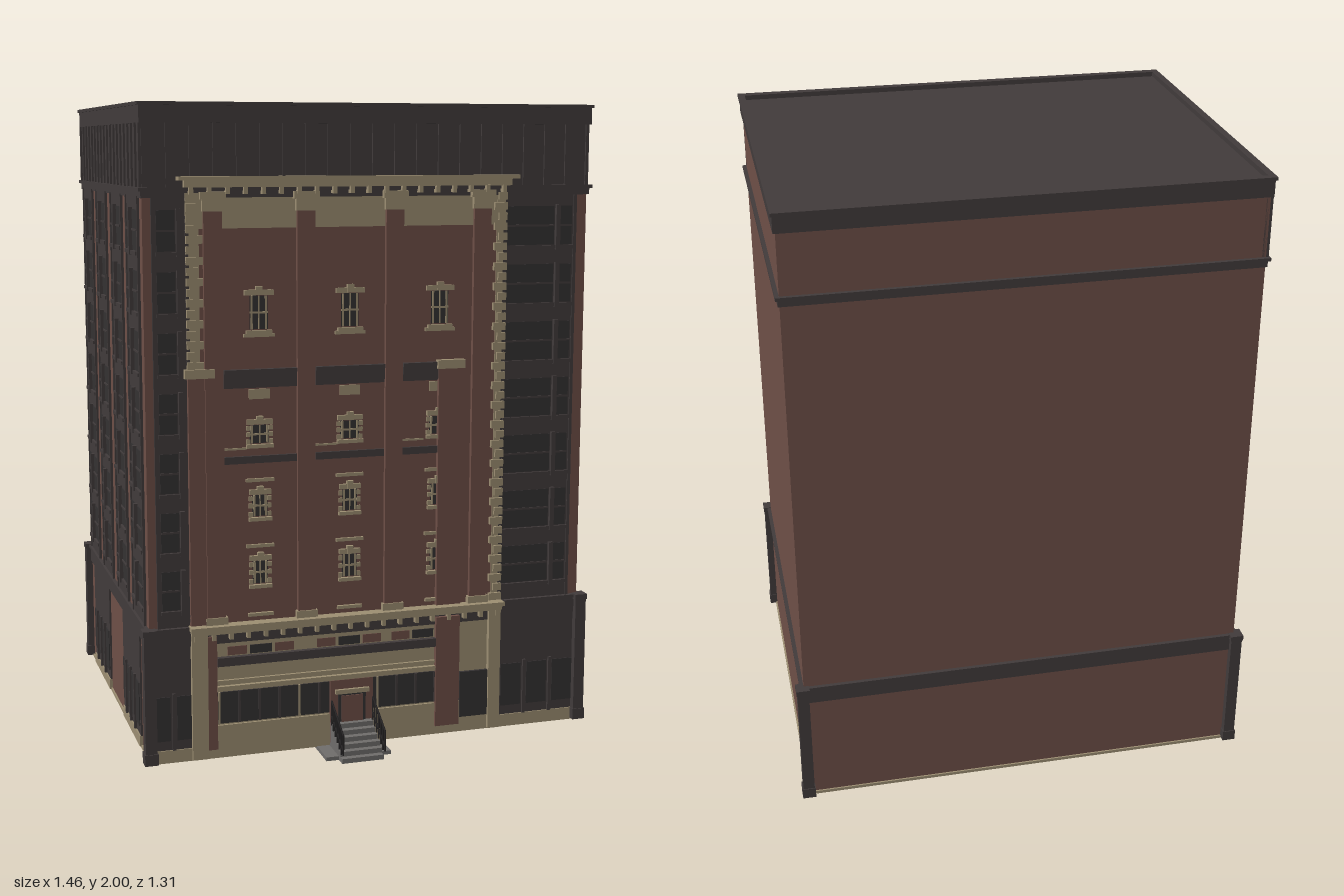
import * as THREE from 'three';

const material = (name, color) => {
  const m = new THREE.MeshStandardMaterial({ color });
  m.name = name;
  return m;
};

export function createModel() {
  const brick = material('brick', 0x6e4f47);
  const stone = material('stone', 0x9c8e72);
  const iron = material('dark iron', 0x413b3b);
  const glass = material('dark glass', 0x343132);
  const grey = material('grey steps', 0x6f6d6b);
  const rail = material('black rail', 0x242223);

  const model = new THREE.Group();
  model.name = 'building';
  const group = (name, parent = model) => {
    const g = new THREE.Group();
    g.name = name;
    parent.add(g);
    return g;
  };
  // box given by its limits
  const box = (parent, name, mat, x0, x1, y0, y1, z0, z1) => {
    const m = new THREE.Mesh(new THREE.BoxGeometry(x1 - x0, y1 - y0, z1 - z0), mat);
    m.position.set((x0 + x1) / 2, (y0 + y1) / 2, (z0 + z1) / 2);
    m.name = name;
    parent.add(m);
    return m;
  };

  // main block, roof and ledges
  const shell = group('shell');
  box(shell, 'walls', brick, -0.705, 0.705, 0.015, 1.95, -0.635, 0.49);
  box(shell, 'underside', stone, -0.71, 0.71, 0.01, 0.02, -0.64, 0.5);
  box(shell, 'roof', iron, -0.705, 0.705, 1.94, 1.985, -0.635, 0.495);
  const ring = (name, y0, y1, o) => {
    const g = group(name, shell);
    const x = 0.705 + o, zb = -0.635 - o, zf = 0.495 + o;
    box(g, 'frontLedge', iron, -x, x, y0, y1, 0.48, zf);
    box(g, 'backLedge', iron, -x, x, y0, y1, zb, -0.625);
    for (const s of [-1, 1]) box(g, 'sideLedge', iron, Math.min(s * x, s * 0.695), Math.max(s * x, s * 0.695), y0, y1, zb, zf);
  };
  ring('parapet', 1.94, 2, 0.007);
  ring('parapetLip', 1.99, 2, 0.012);
  ring('upperBand', 1.725, 1.755, 0.005);
  ring('upperBandLip', 1.745, 1.755, 0.012);
  ring('baseBand', 0.375, 0.43, 0.006);
  ring('baseBandLip', 0.425, 0.435, 0.012);
  for (const s of [-1, 1]) for (const z of [-0.64, 0.5]) {
    box(shell, 'cornerPost', iron, s * 0.709 - 0.018, s * 0.709 + 0.018, 0.015, 0.43, z - 0.018, z + 0.018);
    box(shell, 'cornerFoot', iron, s * 0.709 - 0.021, s * 0.709 + 0.021, 0.015, 0.05, z - 0.021, z + 0.021);
    box(shell, 'cornerCap', iron, s * 0.709 - 0.021, s * 0.709 + 0.021, 0.42, 0.437, z - 0.021, z + 0.021);
  }

  // tall iron window bay on a wall lying at z = w
  const bay = (parent, x0, x1, xm, w) => {
    const g = group('windowBay', parent);
    box(g, 'bayPanel', iron, x0, x1, 0.43, 1.73, w - 0.01, w + 0.004);
    for (let i = 0; i < 7; i++) {
      const y = 0.455 + i * 0.18;
      for (const [a, b] of [[x0 + 0.015, xm - 0.01], [xm + 0.01, x1 - 0.015]]) {
        if (b - a < 0.02) continue;
        box(g, 'pane', glass, a, b, y + 0.035, y + 0.155, w, w + 0.006);
        box(g, 'paneBar', iron, a, b, y + 0.092, y + 0.098, w, w + 0.009);
        box(g, 'paneSill', iron, a - 0.004, b + 0.004, y + 0.022, y + 0.033, w, w + 0.012);
      }
      box(g, 'mullion', iron, xm - 0.007, xm + 0.007, y + 0.02, y + 0.16, w, w + 0.016);
    }
    for (const x of [x0, x1 - 0.01]) box(g, 'bayEdge', iron, x, x + 0.01, 0.43, 1.73, w, w + 0.008);
  };
  // ribbed band under the parapet
  const attic = (parent, x0, x1, w, n) => {
    const g = group('atticBand', parent);
    box(g, 'atticPanel', iron, x0, x1, 1.75, 1.95, w - 0.01, w + 0.004);
    for (let i = 0; i <= n; i++) {
      const x = x0 + 0.005 + (x1 - x0 - 0.01) * i / n;
      box(g, 'atticRib', iron, x - 0.005, x + 0.005, 1.755, 1.94, w, w + 0.01);
    }
  };
  // iron shopfront
  const shop = (parent, x0, x1, w) => {
    const g = group('shopfront', parent);
    box(g, 'shopPanel', iron, x0, x1, 0.05, 0.43, w - 0.01, w + 0.006);
    box(g, 'shopBase', stone, x0, x1, 0.015, 0.05, w - 0.01, w + 0.01);
    const n = Math.max(2, Math.round((x1 - x0) / 0.08)), p = (x1 - x0) / n;
    for (let i = 0; i < n; i++) {
      box(g, 'shopPane', glass, x0 + i * p + 0.01, x0 + (i + 1) * p - 0.01, 0.08, 0.22, w, w + 0.009);
      if (i) box(g, 'shopPost', iron, x0 + i * p - 0.005, x0 + i * p + 0.005, 0.05, 0.23, w, w + 0.014);
    }
  };

  // windowed side wall: local x runs along the wall, local z points outward
  const side = group('windowedSide');
  side.rotation.y = -Math.PI / 2;
  for (const c of [-0.5, -0.22, 0.07, 0.35]) bay(side, c - 0.1, c + 0.1, c, 0.705);
  attic(side, -0.635, 0.495, 0.703, 18);
  shop(side, -0.54, -0.22, 0.705);
  shop(side, 0.05, 0.35, 0.705);

  // iron wings of the front
  const wings = group('frontWings');
  bay(wings, -0.68, -0.57, -0.6, 0.49);
  bay(wings, 0.42, 0.67, 0.605, 0.49);
  attic(wings, -0.705, 0.705, 0.49, 20);
  shop(wings, -0.7, -0.57, 0.49);
  shop(wings, 0.43, 0.7, 0.49);

  // central facade
  const facade = group('facade');
  const f = (name, mat, x0, x1, y0, y1, z1, z0 = 0.485) => box(facade, name, mat, x0, x1, y0, y1, z0, z1);
  f('facadeWall', brick, -0.58, 0.43, 0.42, 1.74, 0.496);
  f('frieze', stone, -0.58, 0.43, 1.635, 1.77, 0.499);
  f('topCornice', stone, -0.585, 0.44, 1.755, 1.775, 0.52);
  f('topCorniceLip', stone, -0.605, 0.46, 1.775, 1.787, 0.535);
  f('lowerCornice', stone, -0.58, 0.43, 0.41, 0.425, 0.522);
  f('lowerCorniceLip', stone, -0.585, 0.435, 0.425, 0.438, 0.535);
  for (let i = 0; i < 19; i++) {
    const x = -0.565 + i * 0.0545;
    f('upperBracket', stone, x - 0.006, x + 0.006, 1.735, 1.757, 0.522);
    f('lowerBracket', stone, x - 0.006, x + 0.006, 0.39, 0.412, 0.518);
  }
  for (const x of [-0.5, -0.215, 0.065, 0.35]) {
    f('pier', brick, x - 0.028, x + 0.028, 0.44, 1.7, 0.51);
    f('pierFoot', stone, x - 0.034, x + 0.034, 0.437, 0.46, 0.515);
    f('capital', stone, x - 0.032, x + 0.032, 1.685, 1.72, 0.514);
    f('capitalTop', stone, x - 0.039, x + 0.039, 1.72, 1.742, 0.518);
  }
  // quoins on the facade edges
  const quoins = (x0, x1, y0, y1, dir) => {
    f('quoinStrip', stone, x0 + 0.01, x1 - 0.01, y0, y1, 0.5);
    for (let y = y0, i = 0; y < y1 - 0.02; y += 0.031, i++) {
      const cut = i % 2 * 0.014;
      f('quoin', stone, x0 + (dir > 0 ? cut : 0), x1 - (dir < 0 ? cut : 0), y, y + 0.023, 0.508);
    }
  };
  quoins(0.39, 0.432, 0.44, 1.74, 1);
  quoins(-0.58, -0.53, 1.22, 1.74, -1);
  // half-height piers with stone caps
  for (const [a, b, c, d] of [[-0.58, -0.53, -0.59, -0.5], [0.21, 0.29, 0.205, 0.295]]) {
    f('shortPier', brick, a, b, 0.44, 1.2, 0.512);
    f('shortPierCap', stone, c, d, 1.195, 1.222, 0.518);
  }
  // iron bands between piers
  for (const [a, b] of [[-0.47, -0.245], [-0.185, 0.035], [0.095, 0.21]]) {
    f('ironBand', iron, a, b, 1.16, 1.21, 0.506);
    f('ironBandLip', iron, a, b, 1.205, 1.216, 0.512);
    f('thinBand', iron, a, b, 0.93, 0.952, 0.505);
    f('sillStrip', stone, a, a + 0.07, 0.972, 0.978, 0.5);
  }

  // sash windows
  const sash = (x, y0, y1, w, style) => {
    f('sashGlass', glass, x - w, x + w, y0, y1, 0.4975);
    for (const s of [-1, 1]) {
      f('sashSide', stone, x + s * (w - 0.006) - 0.003, x + s * (w - 0.006) + 0.003, y0, y1, 0.5);
      if (style === 'block') for (const t of [0.1, 0.5, 0.85])
        f('sideBlock', stone, x + s * (w + 0.005) - 0.006, x + s * (w + 0.005) + 0.006, y0 + (y1 - y0) * t - 0.007, y0 + (y1 - y0) * t + 0.007, 0.502);
    }
    f('sashBar', stone, x - w, x + w, (y0 + y1) / 2 - 0.003, (y0 + y1) / 2 + 0.003, 0.5);
    f('sashPost', stone, x - 0.002, x + 0.002, y0, y1, 0.5);
    f('sill', stone, x - w - 0.012, x + w + 0.012, y0 - 0.014, y0 - 0.003, 0.508);
    f('lintel', stone, x - w - 0.01, x + w + 0.01, y1 + 0.003, y1 + 0.018, 0.506);
    f('keystone', stone, x - 0.01, x + 0.01, y1 + 0.003, y1 + 0.028, 0.509);
  };
  for (const x of [-0.36, -0.075, 0.215]) {
    sash(x, 1.335, 1.435, 0.028, 'plain');
    f('upperHood', stone, x - 0.045, x + 0.045, 1.437, 1.452, 0.506);
    f('upperSill', stone, x - 0.048, x + 0.048, 1.312, 1.322, 0.506);
    sash(x, 0.99, 1.045, 0.03, 'block');
    f('panelAbove', stone, x - 0.032, x + 0.032, 1.125, 1.155, 0.502);
    sash(x, 0.765, 0.83, 0.024, 'block');
    f('hoodStrip', stone, x - 0.044, x + 0.044, 0.872, 0.882, 0.504);
    sash(x, 0.555, 0.625, 0.024, 'block');
    f('hoodStrip', stone, x - 0.044, x + 0.044, 0.668, 0.678, 0.504);
    f('footSill', stone, x - 0.04, x + 0.04, 0.453, 0.463, 0.506);
  }

  // ground floor
  f('groundWall', stone, -0.58, 0.43, 0.015, 0.42, 0.497);
  f('groundPlinth', stone, -0.58, 0.43, 0.015, 0.115, 0.504);
  f('groundGlass', glass, -0.5, 0.21, 0.12, 0.22, 0.501);
  for (let i = 0; i < 12; i++) f('glassBar', i % 4 ? iron : stone, -0.497 + i * 0.064, -0.491 + i * 0.064, 0.12, 0.22, 0.505);
  f('stringCourse', stone, -0.5, 0.21, 0.225, 0.24, 0.51);
  f('stringCourse', stone, -0.5, 0.21, 0.25, 0.258, 0.506);
  f('signBand', iron, -0.5, 0.21, 0.305, 0.332, 0.514);
  for (const x of [-0.36, -0.075, 0.17]) {
    f('transom', glass, x - 0.035, x + 0.035, 0.335, 0.362, 0.5);
    for (const s of [-1, 1]) f('transomBrick', brick, x + s * 0.075 - 0.03, x + s * 0.075 + 0.03, 0.335, 0.362, 0.499);
  }
  f('cornerPier', stone, -0.58, -0.53, 0.015, 0.41, 0.514);
  f('groundPier', brick, -0.53, -0.5, 0.04, 0.4, 0.508);
  f('groundPier', brick, 0.21, 0.29, 0.04, 0.4, 0.513);
  f('sideWindow', glass, 0.295, 0.39, 0.06, 0.21, 0.507);
  f('cornerPier', stone, 0.39, 0.43, 0.015, 0.41, 0.514);

  // entrance
  const door = group('entrance');
  box(door, 'doorSurround', brick, -0.14, 0, 0.015, 0.225, 0.48, 0.512);
  box(door, 'doorGlass', glass, -0.115, -0.025, 0.09, 0.195, 0.5, 0.515);
  box(door, 'doorLeaf', brick, -0.105, -0.035, 0.09, 0.175, 0.5, 0.518);
  box(door, 'doorHood', stone, -0.125, -0.015, 0.182, 0.196, 0.5, 0.522);
  // steps and landing slab
  box(door, 'slab', grey, -0.18, 0.03, 0, 0.012, 0.4, 0.6);
  for (let i = 0; i < 6; i++) box(door, 'step', grey, -0.14, -0.005, i ? 0.012 : 0, 0.015 * (i + 1), 0.49, 0.635 - i * 0.02);
  // railings
  const bar = (x, ya, za, yb, zb) => {
    const a = new THREE.Vector3(x, ya, za), b = new THREE.Vector3(x, yb, zb);
    const m = new THREE.Mesh(new THREE.CylinderGeometry(0.003, 0.003, a.distanceTo(b), 6), rail);
    m.position.copy(a).lerp(b, 0.5);
    m.quaternion.setFromUnitVectors(new THREE.Vector3(0, 1, 0), b.sub(a).normalize());
    m.name = 'railing';
    door.add(m);
  };
  for (const x of [-0.14, -0.005]) {
    bar(x, 0.095, 0.645, 0.165, 0.525);
    bar(x, 0.045, 0.645, 0.115, 0.525);
    for (let i = 0; i < 7; i++) bar(x, i ? 0.015 + i * 0.0117 : 0.03, 0.645 - i * 0.02, 0.095 + i * 0.0117, 0.645 - i * 0.02);
  }
  return model;
}
